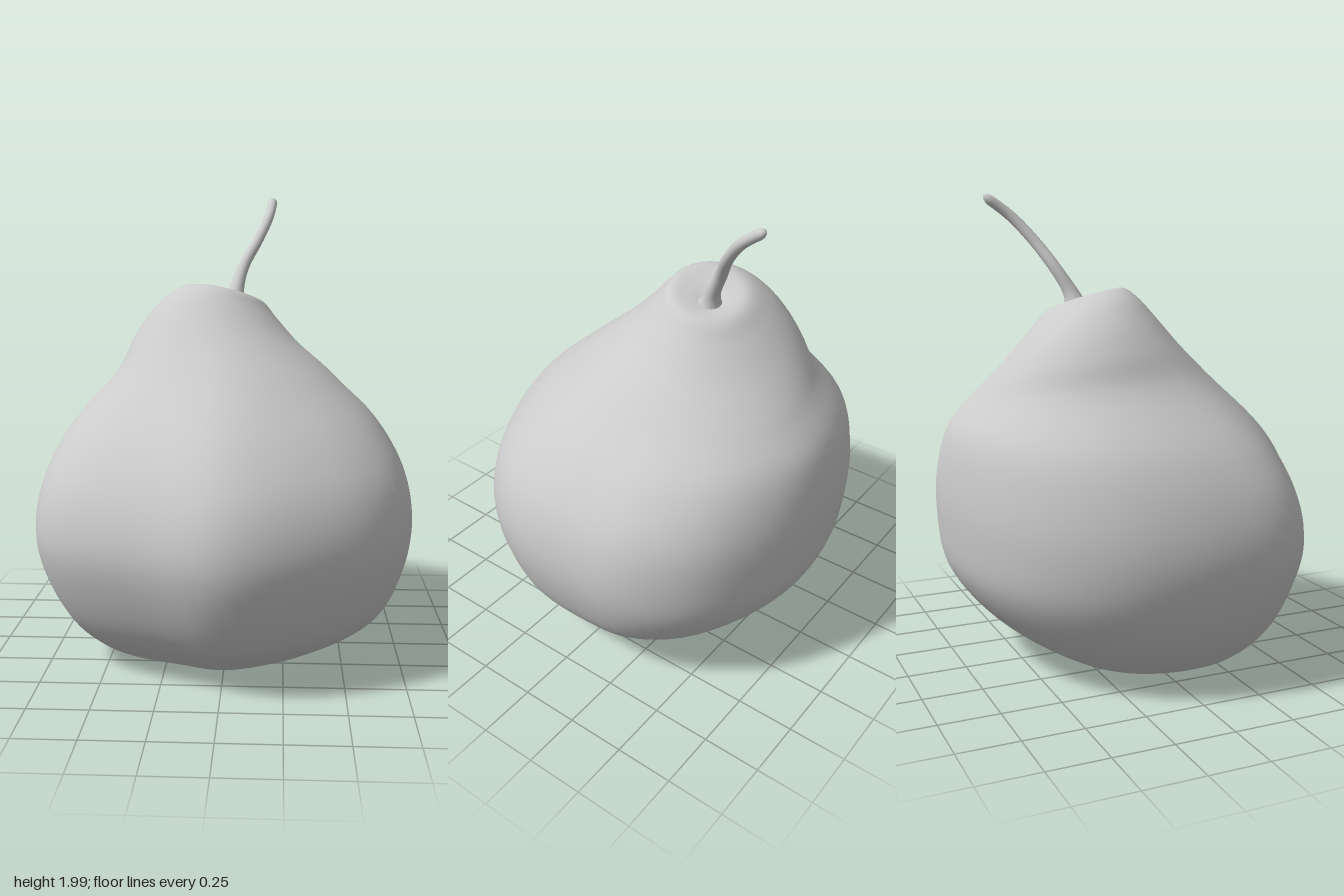
import * as THREE from 'three';
import { mergeVertices } from 'three/addons/utils/BufferGeometryUtils.js';

const { lerp, smoothstep } = THREE.MathUtils;
const SEGMENTS = 72, LEVELS = 90;

// Lumpy plan outline at the widest level (x, z), from +x round through +z
const OUTLINE = [
  [0.81, -0.1], [0.785, 0.2], [0.7, 0.4], [0.5, 0.6], [0.03, 0.8], [-0.3, 0.68],
  [-0.73, 0.43], [-0.81, 0.1], [-0.75, -0.32], [-0.56, -0.6], [-0.25, -0.77],
  [0.2, -0.81], [0.6, -0.63], [0.78, -0.37],
];

// Rings from the bottom hollow to the stem hollow: y, xMin, xMax, zMin, zMax
const RINGS = [
  [0.11, 0.02, 0.02, 0, 0],
  [0.04, -0.17, 0.22, -0.15, 0.17],
  [0.014, -0.36, 0.37, -0.3, 0.33],
  [0.055, -0.5, 0.47, -0.4, 0.44],
  [0.2, -0.66, 0.69, -0.62, 0.64],
  [0.4, -0.77, 0.785, -0.77, 0.76],
  [0.6, -0.815, 0.81, -0.805, 0.81],
  [0.8, -0.79, 0.77, -0.805, 0.77],
  [1.0, -0.7, 0.65, -0.765, 0.63],
  [1.2, -0.49, 0.5, -0.66, 0.35],
  [1.3, -0.43, 0.42, -0.6, 0.2],
  [1.4, -0.36, 0.31, -0.525, 0.09],
  [1.5, -0.27, 0.21, -0.43, 0.01],
  [1.555, -0.18, 0.15, -0.36, -0.04],
  [1.55, -0.1, 0.09, -0.3, -0.12],
  [1.52, 0.015, 0.015, -0.225, -0.225],
];

// One point on a ring: towards the neck the lumpy outline turns into an ellipse
// and the ring tilts up to the front right
function ringPoint([y, x0, x1, z0, z1], o) {
  const a = Math.atan2(o.z, o.x);
  const round = smoothstep(y, 0.8, 1.5);
  const tilt = lerp(-0.025, 0.22, smoothstep(y, 1.0, 1.5));
  const dx = lerp(o.x / 0.81, Math.cos(a), round) * (x1 - x0) / 2;
  const dz = lerp(o.z / 0.81, Math.sin(a), round) * (z1 - z0) / 2;
  return new THREE.Vector3((x0 + x1) / 2 + dx, y + tilt * (dz - dx), (z0 + z1) / 2 + dz);
}

// Joins coincident vertices and smooths the normals
function smooth(geometry) {
  const merged = mergeVertices(geometry, 1e-5);
  merged.computeVertexNormals();
  return merged;
}

function fruitGeometry() {
  const outline = new THREE.CatmullRomCurve3(
    OUTLINE.map(([x, z]) => new THREE.Vector3(x, 0, z)), true, 'centripetal');
  const positions = [], index = [], row = LEVELS + 1;
  for (let j = 0; j < SEGMENTS; j++) {
    const o = outline.getPointAt(j / SEGMENTS);
    const meridian = new THREE.CatmullRomCurve3(RINGS.map((r) => ringPoint(r, o)), false, 'centripetal');
    meridian.getPoints(LEVELS).forEach((p) => positions.push(p.x, p.y, p.z));
    const next = ((j + 1) % SEGMENTS) * row;
    for (let i = 0; i < LEVELS; i++) {
      const a = j * row + i, b = next + i;
      if (i < LEVELS - 1) index.push(a, a + 1, b + 1);
      if (i > 0) index.push(a, b + 1, b);
    }
  }
  const g = new THREE.BufferGeometry();
  g.setAttribute('position', new THREE.Float32BufferAttribute(positions, 3));
  g.setIndex(index);
  return smooth(g);
}

// Curved tube, flared where it meets the fruit and rounded off at the tip
function stemGeometry() {
  const path = new THREE.CatmullRomCurve3([
    [0.015, 1.5, -0.22], [0.03, 1.58, -0.245], [0.06, 1.68, -0.3],
    [0.125, 1.8, -0.375], [0.17, 1.9, -0.46], [0.19, 1.988, -0.575],
  ].map((p) => new THREE.Vector3(...p)));
  const radius = (t) =>
    (0.027 - 0.006 * t + 0.045 * Math.exp(-t * 14)) * Math.sqrt(Math.min(1, (1 - t) * 20));
  const rows = 50, sides = 16;
  const g = new THREE.TubeGeometry(path, rows, 1, sides);
  const pos = g.attributes.position, p = new THREE.Vector3();
  for (let i = 0; i < pos.count; i++) {
    const t = Math.floor(i / (sides + 1)) / rows, c = path.getPointAt(t);
    p.fromBufferAttribute(pos, i).sub(c).multiplyScalar(radius(t)).add(c);
    pos.setXYZ(i, p.x, p.y, p.z);
  }
  g.deleteAttribute('uv');
  g.deleteAttribute('normal');
  return smooth(g);
}

export function createModel() {
  const material = new THREE.MeshStandardMaterial({ color: 0xcccccc });
  const group = new THREE.Group();
  group.name = 'pear';
  const add = (name, geometry) => {
    const mesh = new THREE.Mesh(geometry, material);
    mesh.name = name;
    group.add(mesh);
  };
  add('fruit', fruitGeometry());
  add('stem', stemGeometry());
  return group;
}
